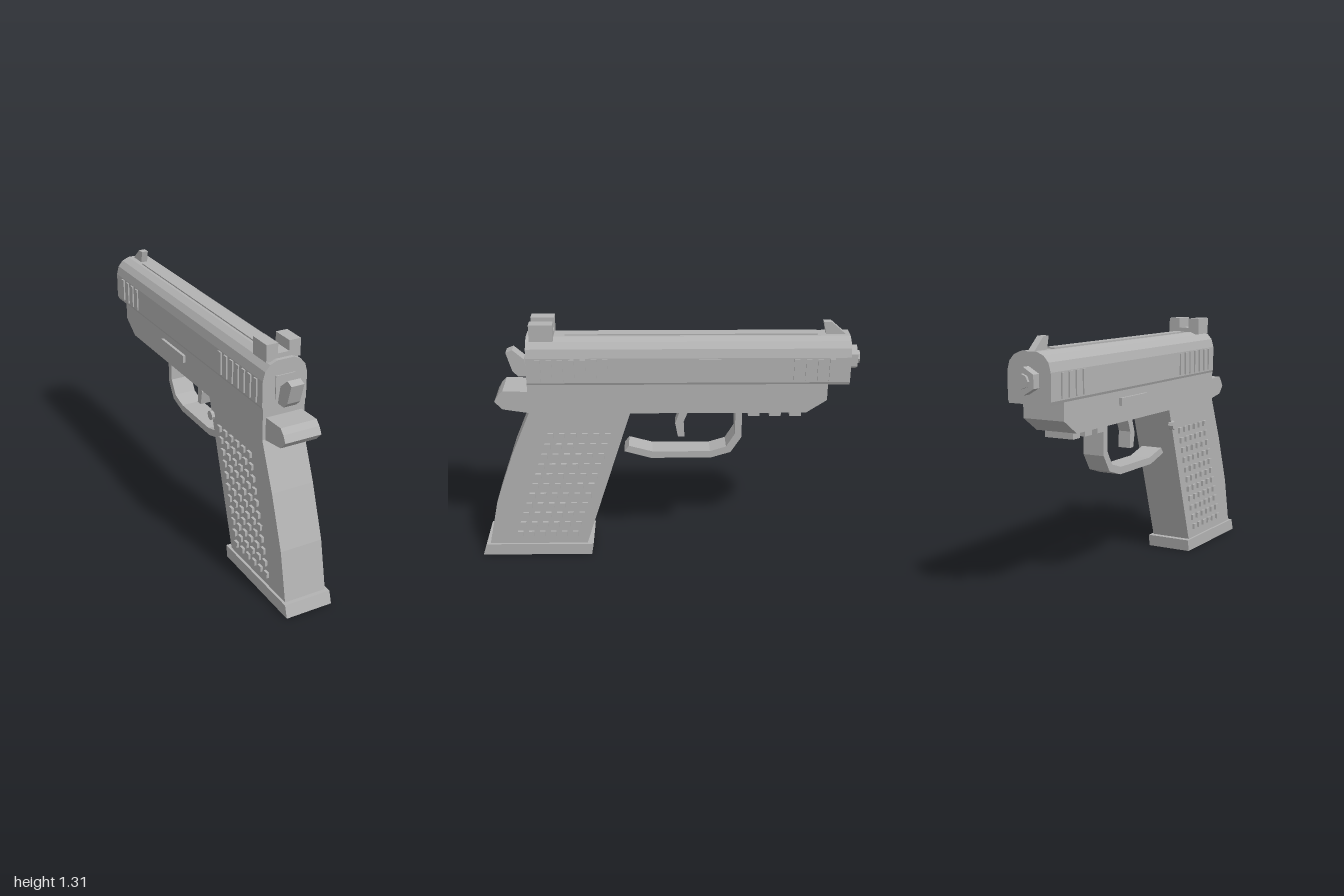
import * as THREE from 'three';

export function createModel() {
  const root = new THREE.Group();
  root.name = 'propPistol';
  const grey = new THREE.MeshStandardMaterial({ color: 0xb2b2b2, flatShading: true });
  grey.name = 'plain grey';

  const add = (name, geometry, parent = root) => {
    const mesh = new THREE.Mesh(geometry, grey);
    mesh.name = name;
    parent.add(mesh);
    return mesh;
  };
  const group = (name) => {
    const g = new THREE.Group();
    g.name = name;
    root.add(g);
    return g;
  };
  // Box from its limits on each axis
  const box = (name, x0, x1, y0, y1, z0, z1, parent) => {
    const g = new THREE.BoxGeometry(x1 - x0, y1 - y0, z1 - z0);
    g.translate((x0 + x1) / 2, (y0 + y1) / 2, (z0 + z1) / 2);
    return add(name, g, parent);
  };
  // Side outline of [z, y] points, extruded across x
  const side = (name, points, halfWidth, parent) => {
    const shape = new THREE.Shape(points.map(([z, y]) => new THREE.Vector2(-z, y)));
    const g = new THREE.ExtrudeGeometry(shape, { depth: halfWidth * 2, bevelEnabled: false });
    g.translate(0, 0, -halfWidth);
    g.rotateY(Math.PI / 2);
    return add(name, g, parent);
  };

  // Slide: rounded cross-section run along z
  const half = [[0.113, 0.995], [0.12, 1.012], [0.12, 1.145], [0.108, 1.19], [0.082, 1.22], [0.045, 1.236]];
  const outline = [...half, ...half.map(([x, y]) => [-x, y]).reverse()];
  const slide = new THREE.ExtrudeGeometry(
    new THREE.Shape(outline.map(([x, y]) => new THREE.Vector2(x, y))), { depth: 1.65, bevelEnabled: false });
  slide.translate(0, 0, -0.94);
  add('slide', slide);
  box('topRib', -0.03, 0.03, 1.225, 1.243, -0.775, 0.515);
  box('sidePort', 0.11, 0.123, 1.05, 1.14, -0.28, 0.02);
  box('hammerPlate', -0.052, 0.052, 1.04, 1.16, 0.7, 0.716);

  // Grip frame and base
  side('frame', [
    [0.71, 1.0], [0.71, 0.84], [0.81, 0.6], [0.905, 0.325], [0.96, 0.06], [0.43, 0.06],
    [0.185, 0.84], [-0.725, 0.84], [-0.83, 0.91], [-0.83, 1.0],
  ], 0.115);
  side('gripBase', [[1.0, 0], [0.405, 0], [0.395, 0.065], [0.98, 0.065]], 0.128);
  side('rearTang', [[0.7, 0.955], [0.84, 0.96], [0.865, 0.935], [0.885, 0.9], [0.845, 0.858], [0.7, 0.835]], 0.098);

  // Hammer, trigger and guard
  side('hammer', [[0.82, 1.145], [0.785, 1.16], [0.728, 1.11], [0.71, 1.015], [0.76, 1.015], [0.79, 1.045]], 0.035);
  side('trigger', [[-0.085, 0.845], [-0.05, 0.745], [-0.065, 0.668], [-0.1, 0.668], [-0.095, 0.755], [-0.13, 0.845]], 0.035);
  side('triggerGuard', [
    [0.22, 0.595], [0.195, 0.627], [0.07, 0.593], [-0.235, 0.593], [-0.32, 0.62], [-0.365, 0.695], [-0.365, 0.845],
    [-0.4, 0.845], [-0.4, 0.675], [-0.345, 0.588], [-0.24, 0.555], [0.08, 0.555],
  ], 0.06);

  // Sights
  const rear = group('rearSight');
  box('sightBase', -0.092, 0.092, 1.225, 1.26, 0.57, 0.69, rear);
  for (const s of [-1, 1]) {
    box('sightPost', Math.min(s * 0.03, s * 0.092), Math.max(s * 0.03, s * 0.092), 1.25, 1.313, 0.57, 0.69, rear);
  }
  side('frontSight', [[-0.805, 1.3], [-0.845, 1.3], [-0.92, 1.235], [-0.82, 1.23]], 0.018);

  // Muzzle collar and tip
  for (const [name, r, sides, z0, z1] of [['muzzleCollar', 0.065, 6, -0.93, -0.985], ['muzzleTip', 0.035, 8, -0.98, -1.0]]) {
    const g = new THREE.CylinderGeometry(r, r, z0 - z1, sides);
    g.rotateX(Math.PI / 2);
    g.translate(0, 1.105, (z0 + z1) / 2);
    add(name, g);
  }

  // Cross ribs under the front of the frame
  const rails = group('underRail');
  for (const z of [-0.46, -0.57, -0.675]) box('railRib', -0.08, 0.08, 0.805, 0.85, z - 0.03, z + 0.03, rails);

  // Controls on one side
  box('sideLever', -0.13, -0.11, 0.925, 0.965, -0.34, -0.08);
  const button = new THREE.CylinderGeometry(0.025, 0.025, 0.03, 8);
  button.rotateZ(Math.PI / 2);
  button.translate(-0.117, 0.753, 0.22);
  add('sideButton', button);

  // Slide ridges and grip studs on both sides
  const ridges = group('slideRidges');
  const studs = group('gripStuds');
  for (const s of [-1, 1]) {
    const xa = s > 0 ? 0.11 : -0.128;
    const xb = xa + 0.018;
    for (let i = 0; i < 7; i++) {
      const z = 0.65 - i * 0.057;
      box('rearRidge', xa, xb, 1.02, 1.14, z - 0.014, z + 0.014, ridges);
    }
    for (let i = 0; i < 4; i++) {
      const z = -0.665 - i * 0.06;
      box('frontRidge', xa, xb, 1.02, 1.14, z - 0.014, z + 0.014, ridges);
    }
    for (let row = 0; row < 11; row++) {
      const y = 0.128 + row * 0.0586;
      for (let col = 0; col < 6; col++) {
        const z = 0.79 - row * 0.0188 - col * 0.06;
        box('stud', xa, xb, y - 0.015, y + 0.015, z - 0.015, z + 0.015, studs);
      }
    }
  }
  return root;
}
